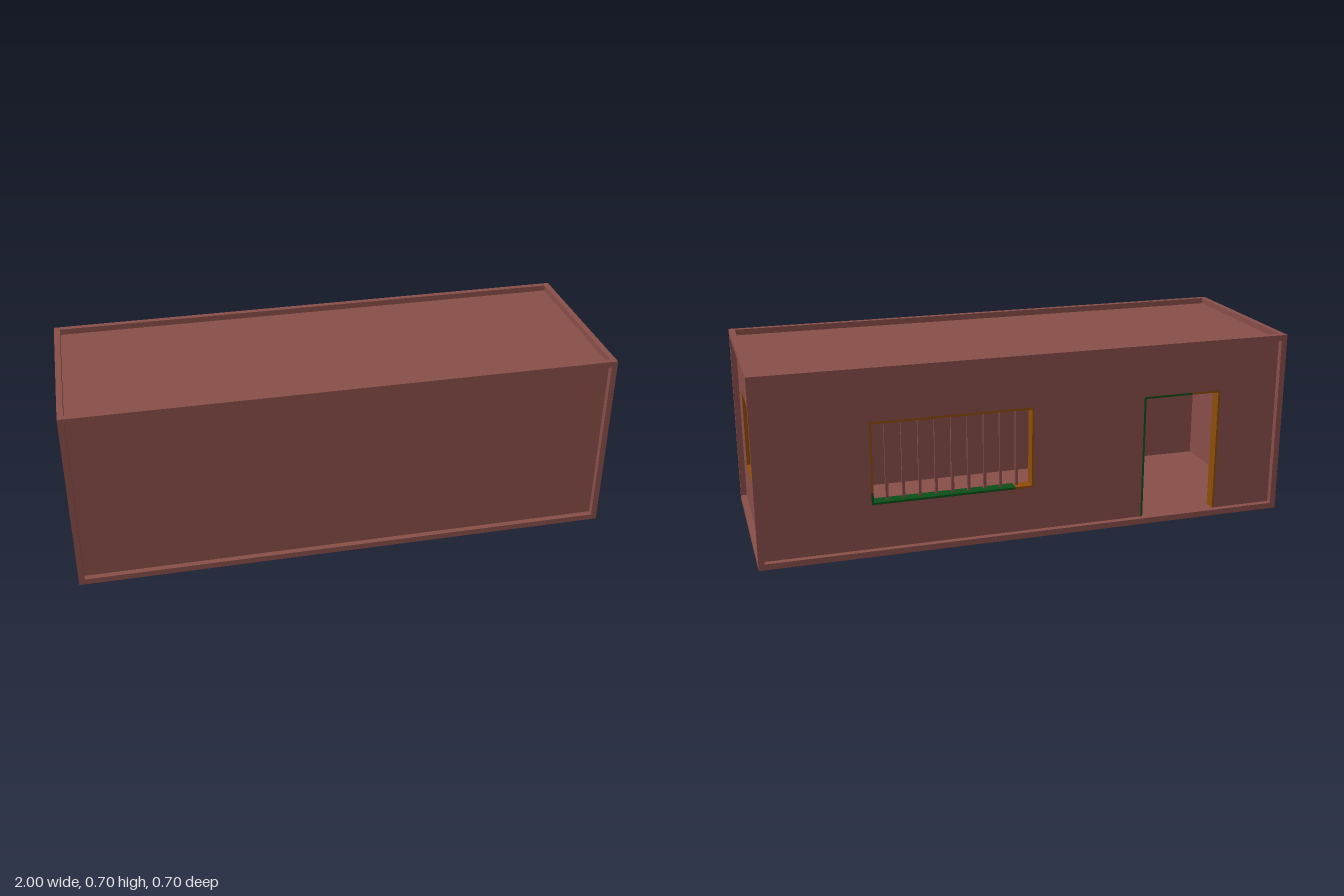
import * as THREE from 'three';

const mat = (name, color) => {
  const m = new THREE.MeshStandardMaterial({ color });
  m.name = name;
  return m;
};

export function createModel() {
  const paint = mat('containerRed', 0x8a4f4a);
  const orange = mat('frameOrange', 0x8f4e0a);
  const green = mat('frameGreen', 0x0b5018);

  const X = 1, Z = 0.352, H = 0.698;   // outer half length, half depth, height
  const B = 0.022;                     // edge beam size, also the panel recess
  const T = 0.04;                      // panel thickness

  const root = new THREE.Group();
  root.name = 'container';

  // Box given by its two opposite corners
  const box = (parent, name, a, b, material = paint) => {
    const g = new THREE.BoxGeometry(b[0] - a[0], b[1] - a[1], b[2] - a[2]);
    const m = new THREE.Mesh(g, material);
    m.name = name;
    m.position.set((a[0] + b[0]) / 2, (a[1] + b[1]) / 2, (a[2] + b[2]) / 2);
    parent.add(m);
  };

  // Floor slab, sunken roof and edge beams
  box(root, 'floor', [-X, 0, -Z], [X, B, Z]);
  box(root, 'roof', [-X + B, H - B - T, -Z + B], [X - B, H - B, Z - B]);
  for (const s of [-1, 1]) {
    const zs = [s * Z, s * (Z - B)].sort((p, q) => p - q);
    const xs = [s * X, s * (X - B)].sort((p, q) => p - q);
    box(root, 'longTopBeam', [-X, H - B, zs[0]], [X, H, zs[1]]);
    box(root, 'shortTopBeam', [xs[0], H - B, -Z + B], [xs[1], H, Z - B]);
    for (const t of [-1, 1]) {
      const zp = [t * Z, t * (Z - B)].sort((p, q) => p - q);
      box(root, 'cornerPost', [xs[0], B, zp[0]], [xs[1], H - B, zp[1]]);
    }
  }

  // Wall panel drawn as seen from outside; holes are [u0, y0, u1, y1]
  const wall = (name, half, holes, angle, dist) => {
    const group = new THREE.Group();
    group.name = name;
    const rect = (P, u0, y0, u1, y1) => {
      const p = new P();
      p.moveTo(u0, y0); p.lineTo(u1, y0); p.lineTo(u1, y1); p.lineTo(u0, y1);
      p.closePath();
      return p;
    };
    const shape = rect(THREE.Shape, -half, B, half, H - B);
    holes.forEach(h => shape.holes.push(rect(THREE.Path, ...h)));
    const geo = new THREE.ExtrudeGeometry(shape, { depth: T, bevelEnabled: false });
    geo.translate(0, 0, -T);
    const panel = new THREE.Mesh(geo, paint);
    panel.name = name + 'Panel';
    group.add(panel);
    group.rotation.y = angle;
    group.position.set(Math.sin(angle) * dist, 0, Math.cos(angle) * dist);
    root.add(group);
    return group;
  };

  // Lining strips around an opening, and evenly spaced bars
  const strips = (group, name, list) => list.forEach(([u0, y0, u1, y1, m]) =>
    box(group, name, [u0, y0, -T - 0.005], [u1, y1, 0], m));
  const bars = (group, [u0, y0, u1, y1], count) => {
    for (let i = 1; i <= count; i++) {
      const u = u0 + (u1 - u0) * i / (count + 1);
      box(group, 'windowBar', [u - 0.005, y0, -0.03], [u + 0.005, y1, -0.02]);
    }
  };

  const F = 0.008, lo = 0.189, hi = 0.497;
  const endWin = [-0.202, lo, 0.204, hi];
  const backWin = [-0.592, lo, 0.01, hi];
  const door = [0.438, B, 0.746, hi];

  wall('frontWall', X - B, [], 0, Z - B);
  wall('leftOutWall', Z - B, [], -Math.PI / 2, X - B).name = 'plainEndWall';
  const end = wall('windowEndWall', Z - B, [endWin], Math.PI / 2, X - B);
  const back = wall('backWall', X - B, [backWin, door], Math.PI, Z - B);

  // End window
  strips(end, 'endWindowFrame', [
    [-0.202, lo + F, -0.202 + F, hi - F, orange],
    [0.204 - F, lo + F, 0.204, hi - F, green],
    [-0.202, hi - F, 0.087, hi, orange],
    [0.087, hi - F, 0.204, hi, green],
    [-0.202, lo, 0.12, lo + F, orange],
    [0.12, lo, 0.204, lo + F, green],
  ]);
  bars(end, endWin, 6);

  // Back window
  strips(back, 'backWindowFrame', [
    [-0.592, lo + F, -0.592 + F, 0.235, green],
    [-0.592, 0.235, -0.592 + F, hi - F, orange],
    [0.01 - F, lo + F, 0.01, hi - F, orange],
    [-0.592, hi - F, 0.01, hi, orange],
    [-0.592, lo, -0.06, lo + F, green],
    [-0.06, lo, 0.01, lo + F, orange],
  ]);
  bars(back, backWin, 9);

  // Doorway
  strips(back, 'doorFrame', [
    [0.438, B, 0.438 + F, hi - F, green],
    [0.746 - F, B, 0.746, hi - F, orange],
    [0.438, hi - F, 0.63, hi, green],
    [0.63, hi - F, 0.746, hi, orange],
  ]);

  return root;
}
